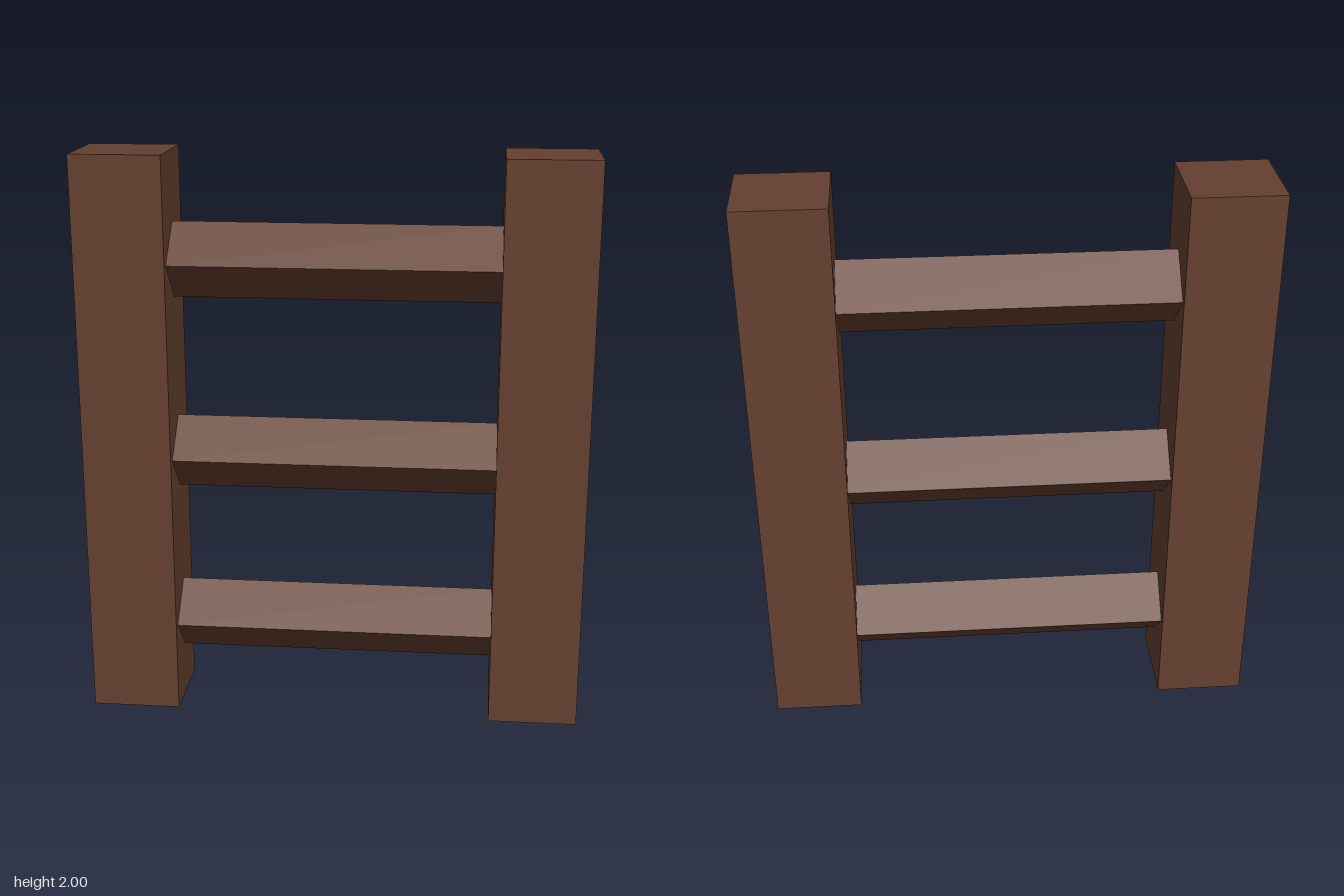
import * as THREE from 'three';

export function createModel() {
  const group = new THREE.Group();
  group.name = 'ladder';
  const wood = new THREE.MeshStandardMaterial({ color: 0x65402f });
  wood.name = 'brown wood';

  const add = (name, geometry, x, y, z) => {
    const mesh = new THREE.Mesh(geometry, wood);
    mesh.name = name;
    mesh.position.set(x, y, z);
    group.add(mesh);
    return mesh;
  };

  // Square upright posts
  const postWidth = 0.312;
  const postX = 0.719;
  const post = new THREE.BoxGeometry(postWidth, 2, postWidth);
  add('leftPost', post, postX, 1, 0);
  add('rightPost', post, -postX, 1, 0);

  // Square rungs turned on edge, ending at the posts' inner faces
  const rungSide = 0.186;
  const rung = new THREE.BoxGeometry(2 * postX - postWidth, rungSide, rungSide);
  rung.rotateX(Math.PI / 4);
  const names = ['lowerRung', 'middleRung', 'upperRung'];
  [0.314, 0.939, 1.628].forEach((y, i) => add(names[i], rung, 0, y, -0.002));

  return group;
}
